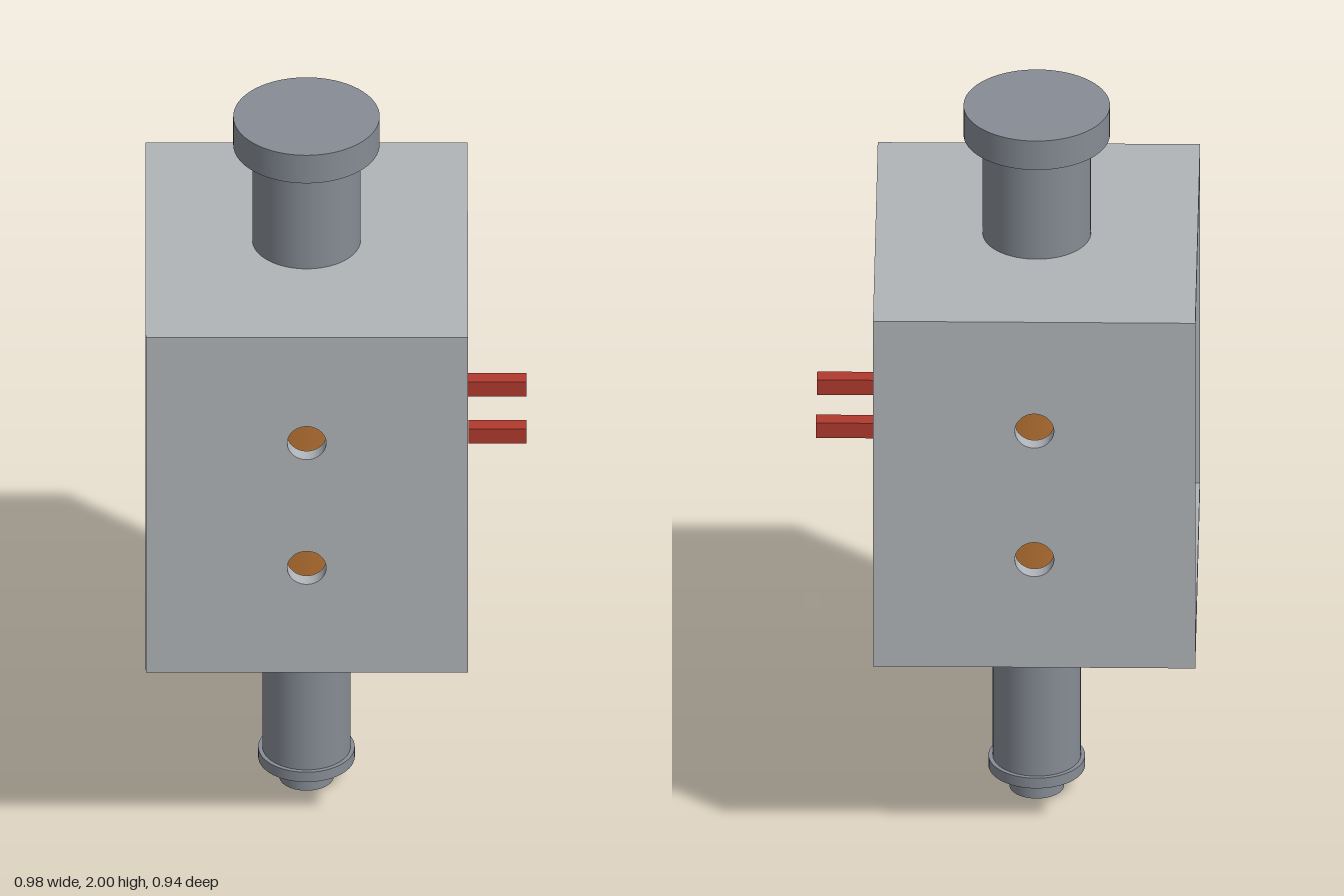
import * as THREE from 'three';

const material = (name, color) => {
  const m = new THREE.MeshStandardMaterial({ color });
  m.name = name;
  return m;
};

export function createModel() {
  const frameGrey = material('frame grey', 0xb0b4b8);
  const steel = material('steel', 0x868c95);
  const copper = material('copper', 0xb87333);
  const red = material('terminal red', 0xb03a2e);

  const model = new THREE.Group();
  model.name = 'solenoid';
  const add = (parent, name, geometry, mat, x, y, z) => {
    const mesh = new THREE.Mesh(geometry, mat);
    mesh.name = name;
    mesh.position.set(x, y, z);
    parent.add(mesh);
    return mesh;
  };

  const axisX = -0.077;
  const x0 = -0.49, x1 = 0.337, y0 = 0.61, y1 = 1.625, depth = 0.94, wall = 0.042;

  // Open box frame: two drilled walls joined by a top and a bottom plate
  const frame = new THREE.Group();
  frame.name = 'frame';
  model.add(frame);
  const outline = new THREE.Shape();
  outline.moveTo(x0, y0).lineTo(x1, y0).lineTo(x1, y1).lineTo(x0, y1).closePath();
  for (const y of [0.927, 1.305]) {
    outline.holes.push(new THREE.Path().absarc(axisX, y, 0.05, 0, Math.PI * 2, true));
  }
  const wallGeometry = new THREE.ExtrudeGeometry(outline, { depth: wall, bevelEnabled: false, curveSegments: 32 });
  add(frame, 'frontWall', wallGeometry, frameGrey, 0, 0, depth / 2 - wall);
  add(frame, 'backWall', wallGeometry, frameGrey, 0, 0, -depth / 2);
  const plate = new THREE.BoxGeometry(x1 - x0, wall, depth - 2 * wall);
  add(frame, 'topPlate', plate, frameGrey, (x0 + x1) / 2, y1 - wall / 2, 0);
  add(frame, 'bottomPlate', plate, frameGrey, (x0 + x1) / 2, y0 + wall / 2, 0);

  // Round parts stacked on the plunger axis: name, radius, bottom, top, material
  const rounds = [
    ['coil', 0.347, 0.66, 1.572, copper],
    ['plungerCap', 0.188, 1.915, 2.0, steel],
    ['plungerShaft', 0.139, 1.57, 1.915, steel],
    ['lowerNeck', 0.07, 0.583, 0.65, steel],
    ['lowerRod', 0.113, 0.09, 0.583, steel],
    ['rodCollar', 0.124, 0.06, 0.09, steel],
    ['rodTip', 0.07, 0, 0.06, steel],
  ];
  for (const [name, r, bottom, top, mat] of rounds) {
    add(model, name, new THREE.CylinderGeometry(r, r, top - bottom, 64), mat, axisX, (bottom + top) / 2, 0);
  }

  // Pair of terminal pins on the open side
  const pin = new THREE.BoxGeometry(0.15, 0.044, 0.044);
  for (const s of [1, -1]) {
    add(model, s > 0 ? 'frontTerminal' : 'backTerminal', pin, red, 0.413, 1.115, s * 0.113);
  }

  return model;
}
